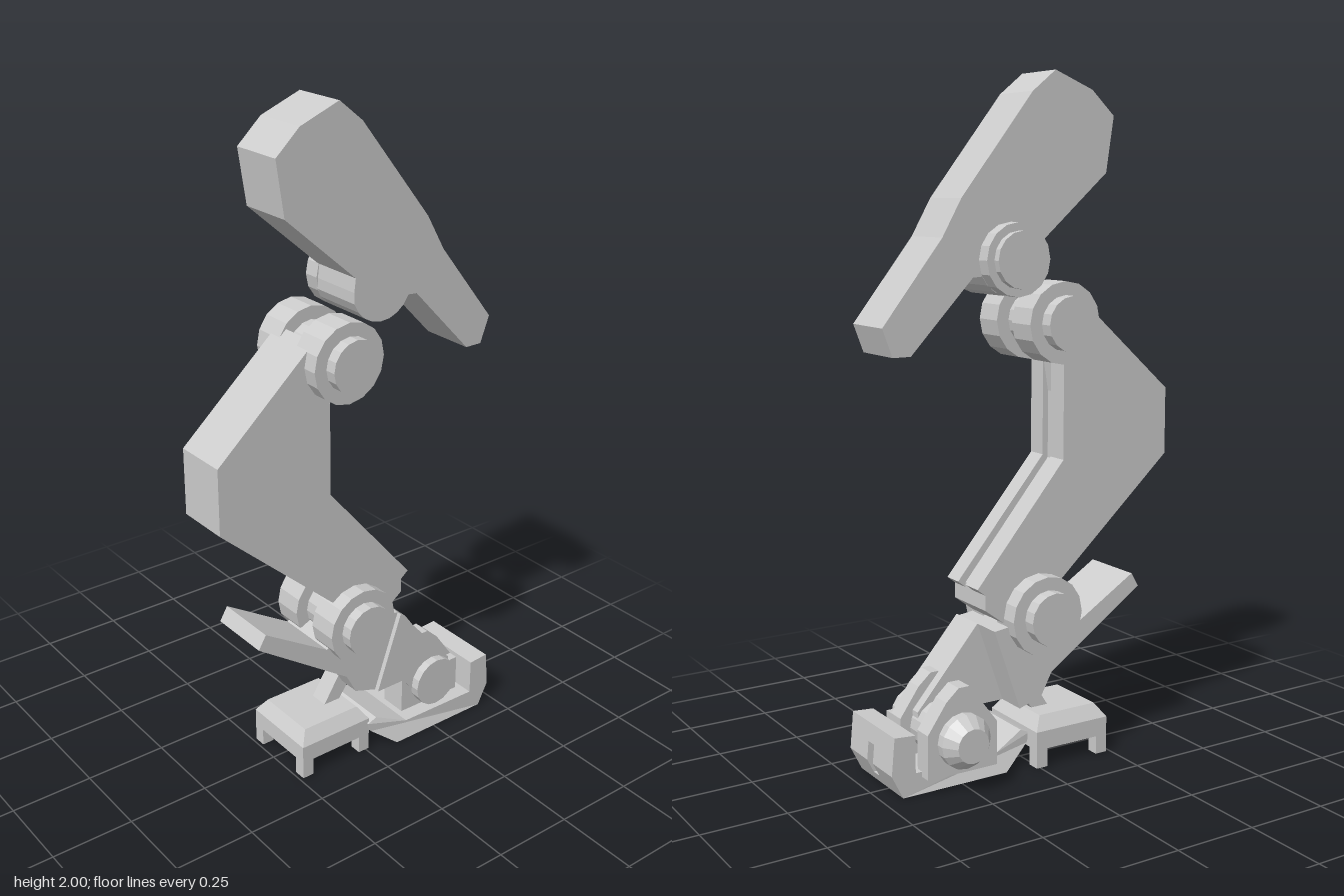
import * as THREE from 'three';

const material = new THREE.MeshStandardMaterial({ color: 0xcccccc, flatShading: true });

function add(parent, name, geometry) {
  const mesh = new THREE.Mesh(geometry, material);
  mesh.name = name;
  parent.add(mesh);
  return mesh;
}

// Side outline in x/y, given thickness between z0 and z1
function plate(parent, name, points, z0, z1) {
  const shape = new THREE.Shape(points.map(([x, y]) => new THREE.Vector2(x, y)));
  const geometry = new THREE.ExtrudeGeometry(shape, { depth: z1 - z0, bevelEnabled: false });
  geometry.translate(0, 0, z0);
  return add(parent, name, geometry);
}

// Disc with its axis along z; r1 is the radius at z1
function disc(parent, name, x, y, r0, z0, z1, r1 = r0, sides = 16) {
  const geometry = new THREE.CylinderGeometry(r1, r0, z1 - z0, sides);
  geometry.rotateX(Math.PI / 2);
  geometry.translate(x, y, (z0 + z1) / 2);
  return add(parent, name, geometry);
}

function box(parent, name, x0, x1, y0, y1, z0, z1) {
  const geometry = new THREE.BoxGeometry(x1 - x0, y1 - y0, z1 - z0);
  geometry.translate((x0 + x1) / 2, (y0 + y1) / 2, (z0 + z1) / 2);
  return add(parent, name, geometry);
}

// Pair of hinge discs with a pin through them
function hinge(parent, name, x, y) {
  const group = new THREE.Group();
  group.name = name;
  disc(group, 'frontDisc', x, y, 0.118, 0.055, 0.15);
  disc(group, 'backDisc', x, y, 0.118, -0.12, -0.025);
  disc(group, 'pin', x, y, 0.079, -0.16, 0.185);
  parent.add(group);
}

export function createModel() {
  const leg = new THREE.Group();
  leg.name = 'mechanicalLeg';

  // Thigh with a rounded lobe around the hip boss
  const hip = [0.073, 1.482];
  const lobe = [];
  for (let i = 0; i <= 8; i++) {
    const a = -0.45 - (i / 8) * 2.35;
    lobe.push([hip[0] + 0.103 * Math.cos(a), hip[1] + 0.103 * Math.sin(a)]);
  }
  plate(leg, 'thigh', [
    [-0.275, 1.88], [-0.2, 1.95], [-0.075, 2], [0, 1.94], [0.23, 1.65], [0.29, 1.545],
    [0.475, 1.31], [0.445, 1.23], [0.39, 1.23], [0.195, 1.435], ...lobe,
    [-0.025, 1.48], [-0.02, 1.52], [-0.25, 1.72],
  ], -0.067, 0.104);
  disc(leg, 'hipBoss', ...hip, 0.103, -0.11, -0.06);
  disc(leg, 'hipCap', ...hip, 0.08, -0.132, -0.1);

  // Shin with two rails leaving a groove along its front edge
  plate(leg, 'shin', [
    [-0.478, 1.085], [-0.16, 1.37], [-0.09, 1.3], [-0.075, 1.2], [-0.11, 1.18],
    [-0.125, 1.09], [-0.125, 0.89], [0.16, 0.55], [0.16, 0.49], [0.1, 0.445],
    [-0.03, 0.5], [-0.1, 0.545], [-0.478, 0.885],
  ], -0.067, 0.104);
  for (const [z0, z1] of [[-0.067, 0], [0.042, 0.104]]) {
    plate(leg, 'shinRail', [
      [-0.125, 1.09], [-0.11, 1.18], [-0.107, 1.18], [-0.107, 0.9], [0.185, 0.555],
      [0.16, 0.535], [-0.125, 0.885],
    ], z0, z1);
  }
  hinge(leg, 'kneeHinge', -0.075, 1.302);
  hinge(leg, 'ankleHinge', -0.02, 0.457);

  // Ankle link with its rear spur and forward arm
  plate(leg, 'ankleSpur', [
    [-0.37, 0.49], [-0.345, 0.532], [-0.13, 0.4], [-0.02, 0.45], [0.14, 0.43],
    [0.055, 0.185], [-0.02, 0.21], [-0.055, 0.275],
  ], -0.085, 0.115);
  plate(leg, 'ankleArm', [
    [0.14, 0.43], [0.34, 0.2], [0.34, 0.13], [0.2, 0.13], [0.155, 0.185], [0.055, 0.185],
  ], 0.01, 0.13);

  // Toe joint: lug, bracket, side block and bolts
  const lug = [
    [0.155, 0.05], [0.155, 0.18], [0.245, 0.3], [0.28, 0.3], [0.32, 0.265],
    [0.38, 0.18], [0.38, 0.05],
  ];
  plate(leg, 'toeLug', lug, 0.04, 0.095);
  plate(leg, 'toeBracket', lug, -0.12, -0.06);
  box(leg, 'toeSideBlock', 0.155, 0.38, 0.05, 0.18, 0.09, 0.125);
  disc(leg, 'toePin', 0.27, 0.148, 0.079, -0.145, 0.157);
  disc(leg, 'toeBoltHead', 0.27, 0.148, 0.05, -0.185, -0.145, 0.079);

  // Toe in three slices; the middle one has a slot in the front wall
  const toeBack = [[0.1, 0], [0.015, 0.065], [0.005, 0.095], [0.035, 0.108], [0.135, 0.068],
    [0.4, 0.065], [0.4, 0.175], [0.465, 0.18]];
  const tip = [[0.475, 0.07], [0.44, 0]];
  const slot = [[0.47, 0.125], [0.425, 0.125], [0.425, 0.03], [0.455, 0.03], [0.44, 0]];
  const slices = [[-0.085, 0.03, tip], [0.03, 0.065, slot], [0.065, 0.172, tip]];
  for (const [z0, z1, front] of slices) {
    const position = plate(leg, 'toe', [...toeBack, ...front], z0, z1).geometry.attributes.position;
    // Narrow the rear end of the toe
    for (let i = 0; i < position.count; i++) {
      if (position.getX(i) < 0.05) position.setZ(i, 0.045 + (position.getZ(i) - 0.045) * 0.8);
    }
  }

  // Heel pad with a sloped top, four feet and a strut to the ankle
  box(leg, 'heelPad', -0.238, 0.012, 0.055, 0.11, -0.11, 0.14);
  const top = new THREE.BoxGeometry(0.25, 0.04, 0.25);
  const p = top.attributes.position;
  for (let i = 0; i < p.count; i++) {
    if (p.getY(i) > 0) p.setXYZ(i, p.getX(i) * 0.78, p.getY(i), p.getZ(i) * 0.78);
  }
  top.translate(-0.113, 0.13, 0.015);
  add(leg, 'heelPadTop', top);
  for (const x of [-0.238, -0.026]) {
    for (const z of [-0.11, 0.102]) box(leg, 'heelFoot', x, x + 0.038, 0, 0.06, z, z + 0.038);
  }
  plate(leg, 'heelStrut', [
    [-0.135, 0.055], [-0.11, 0.04], [0.02, 0.22], [-0.03, 0.24], [-0.09, 0.145],
  ], -0.015, 0.045);

  return leg;
}
